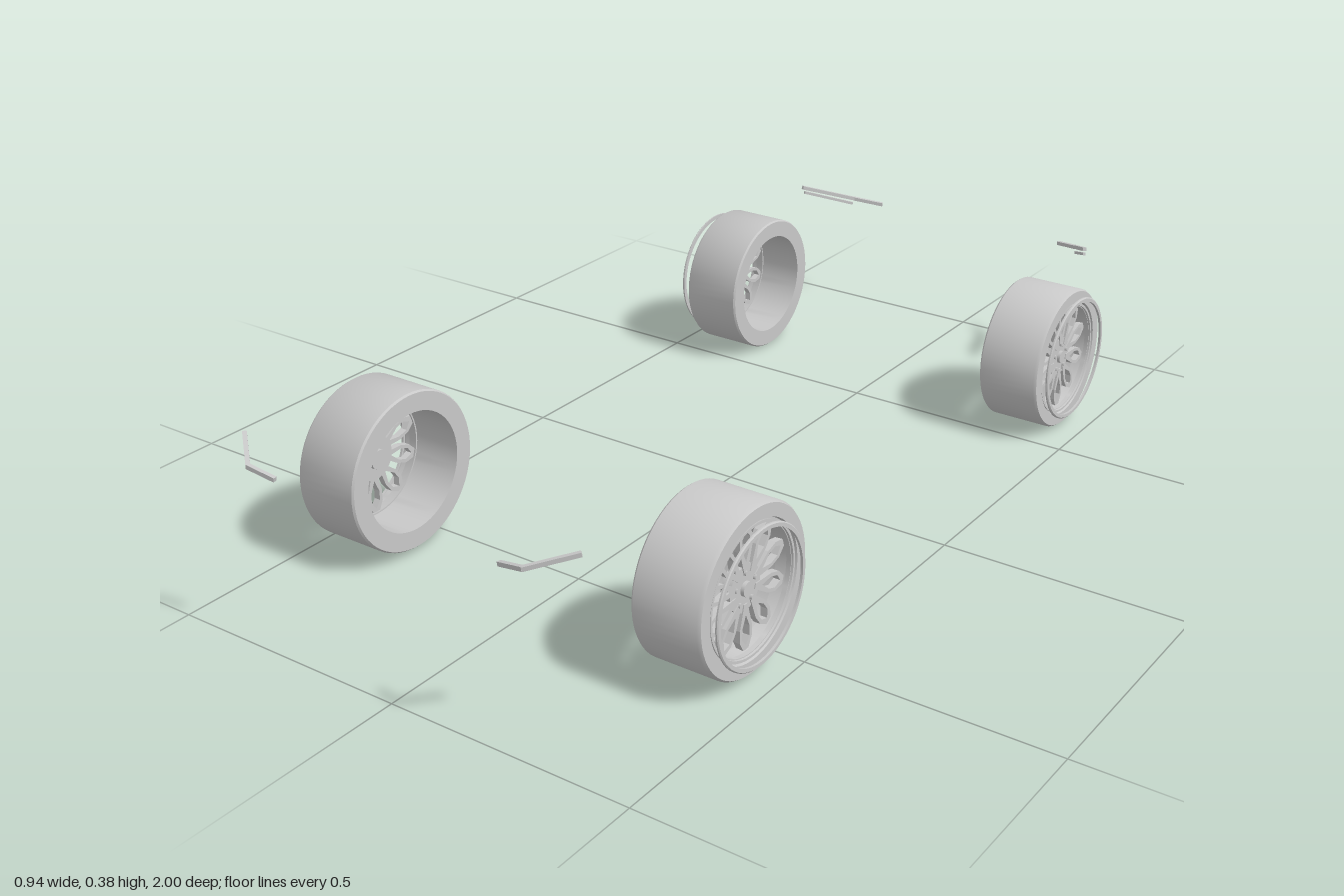
import * as THREE from 'three';
import { toCreasedNormals } from 'three/addons/utils/BufferGeometryUtils.js';

const grey = new THREE.MeshStandardMaterial({ color: 0xc8c8c8 });
grey.name = 'light grey';

function add(parent, name, geometry) {
  const mesh = new THREE.Mesh(geometry, grey);
  mesh.name = name;
  parent.add(mesh);
  return mesh;
}

// Closed profile [radius, depth] turned about the local z axis
function turned(profile) {
  const pts = profile.map(([r, d]) => new THREE.Vector2(r, d));
  pts.push(pts[0].clone());
  const g = new THREE.LatheGeometry(pts, 64);
  g.rotateX(Math.PI / 2);
  return toCreasedNormals(g, 0.6);
}

// Cylinder along z between two depths
function disc(radius, z0, z1, sides = 24) {
  const g = new THREE.CylinderGeometry(radius, radius, z1 - z0, sides);
  g.rotateX(Math.PI / 2);
  g.translate(0, 0, (z0 + z1) / 2);
  return g;
}

// Elongated open loop that forms one spoke, pointing along +x
function spokeGeometry() {
  const outline = [[0.03, -0.005], [0.076, -0.018], [0.1, -0.018], [0.121, -0.007]];
  const hole = [[0.052, 0], [0.077, -0.011], [0.097, -0.011], [0.111, 0]];
  const both = (half) => [...half, ...half.filter((p) => p[1] !== 0).reverse().map(([x, y]) => [x, -y])]
    .map(([x, y]) => new THREE.Vector2(x, y));
  const shape = new THREE.Shape(both(outline));
  shape.holes.push(new THREE.Path(both(hole)));
  const g = new THREE.ExtrudeGeometry(shape, { depth: 0.014, bevelEnabled: false });
  g.translate(0, 0, 0.108);
  return g;
}

// Wheel with its inner face at z = 0 and outer face at z = 0.14
function makeWheel() {
  const wheel = new THREE.Group();
  add(wheel, 'tyre', turned([
    [0.12, 0], [0.157, 0], [0.16, 0.004], [0.16, 0.134], [0.156, 0.14],
    [0.131, 0.14], [0.129, 0.134], [0.12, 0.134],
  ]));
  add(wheel, 'rimLip', turned([
    [0.117, 0.104], [0.121, 0.104], [0.127, 0.138], [0.122, 0.138],
  ]));
  const spoke = spokeGeometry();
  for (let i = 0; i < 10; i++) {
    add(wheel, 'spoke', spoke).rotation.z = (i + 0.5) * Math.PI / 5;
  }
  add(wheel, 'hub', disc(0.045, 0.1, 0.12, 32));
  add(wheel, 'hubBack', disc(0.02, 0.088, 0.1));
  add(wheel, 'centreCap', disc(0.014, 0.12, 0.127));
  for (let i = 0; i < 5; i++) {
    const a = Math.PI / 2 + i * Math.PI * 0.4;
    add(wheel, 'wheelNut', disc(0.005, 0.12, 0.125, 6))
      .position.set(0.03 * Math.cos(a), 0.03 * Math.sin(a), 0);
  }
  return wheel;
}

// Thin square bar through a list of points
function makeStrip(name, points, thickness) {
  const strip = new THREE.Group();
  strip.name = name;
  for (let i = 1; i < points.length; i++) {
    const a = new THREE.Vector3(...points[i - 1]);
    const b = new THREE.Vector3(...points[i]);
    const bar = add(strip, 'stripBar',
      new THREE.BoxGeometry(thickness, thickness, a.distanceTo(b) + thickness * 0.4));
    bar.position.copy(a).add(b).multiplyScalar(0.5);
    bar.lookAt(b);
  }
  return strip;
}

export function createModel() {
  const model = new THREE.Group();
  model.name = 'wheelsAndStrips';

  const axles = [
    { name: 'front', y: 0.17, z: 0.59, scale: 1, width: 1, ringZ: 0.586 },
    { name: 'rear', y: 0.152, z: -0.625, scale: 0.95, width: 0.94, ringZ: -0.616 },
  ];
  for (const side of [1, -1]) {
    const label = side > 0 ? 'Left' : 'Right';
    for (const axle of axles) {
      const wheel = makeWheel();
      wheel.name = axle.name + label + 'Wheel';
      wheel.position.set(side * 0.316, axle.y, axle.z);
      wheel.rotation.y = side * Math.PI / 2;
      wheel.scale.set(axle.scale, axle.scale, axle.width);
      model.add(wheel);

      // Thin trim ring standing just off the wheel
      const ring = add(model, axle.name + label + 'TrimRing',
        turned([[0.124, 0], [0.133, 0], [0.133, 0.003], [0.131, 0.005], [0.124, 0.005]]));
      ring.position.set(side * 0.465, 0.161, axle.ringZ);
      ring.rotation.y = side * Math.PI / 2;
    }

    // Slim bent strips at the four corners
    model.add(makeStrip('front' + label + 'Strip', [
      [side * 0.368, 0.376, 0.935], [side * 0.3, 0.356, 0.993], [side * 0.247, 0.344, 0.985],
    ], 0.008));
    model.add(makeStrip('rear' + label + 'Strip', [
      [side * 0.37, 0.317, -0.845], [side * 0.297, 0.27, -0.963], [side * 0.238, 0.257, -0.997],
    ], 0.008));
    model.add(makeStrip('rear' + label + 'LowerStrip', [
      [side * 0.368, 0.304, -0.85], [side * 0.3, 0.259, -0.958],
    ], 0.006));
  }
  return model;
}
